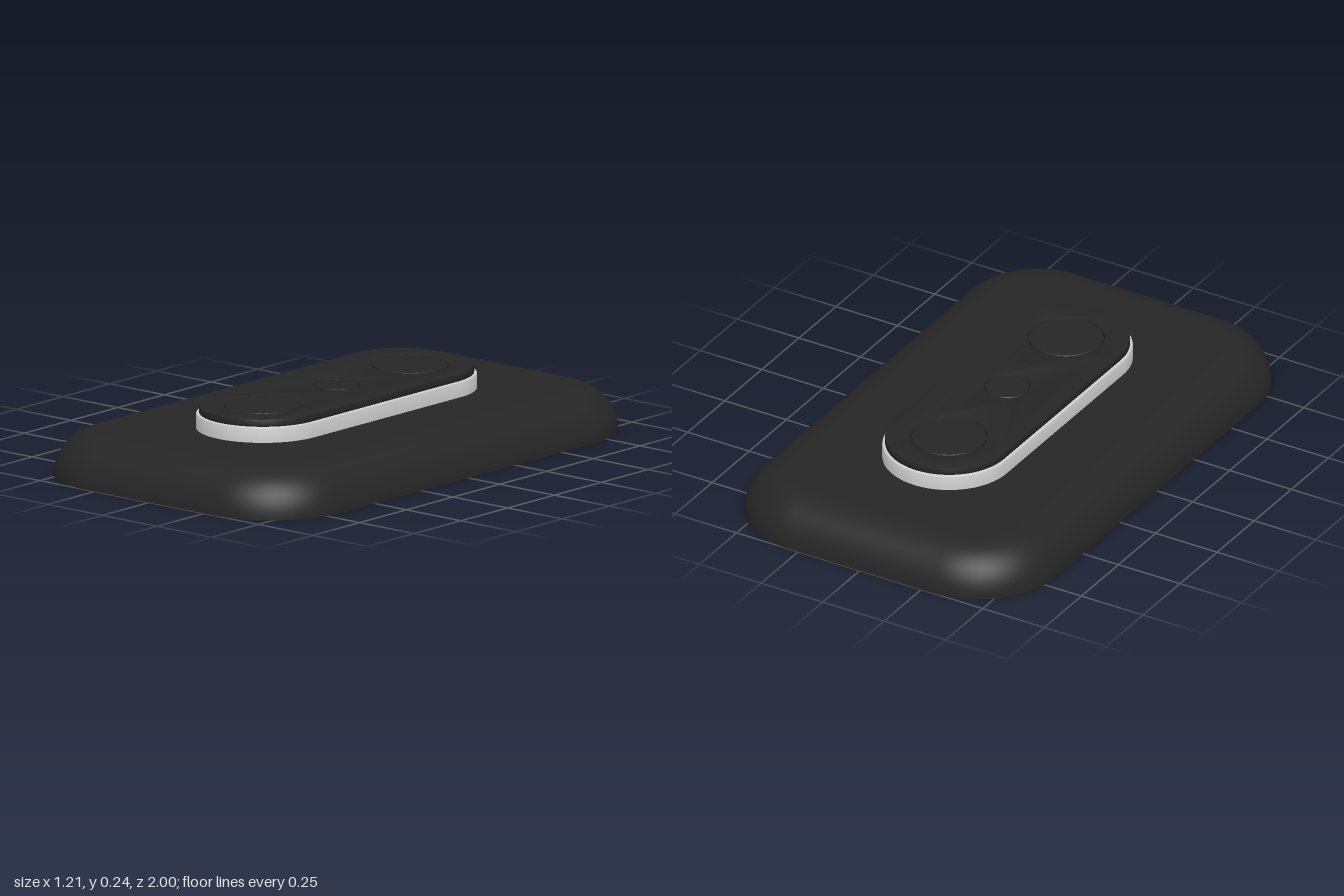
import * as THREE from 'three';
import { toCreasedNormals } from 'three/addons/utils/BufferGeometryUtils.js';

const dark = new THREE.MeshStandardMaterial({ color: 0x262626 });
const grey = new THREE.MeshStandardMaterial({ color: 0xcccccc });

// Outline of a rounded rectangle, counter-clockwise in (x, z)
function outline(w, l, r, steps = 20) {
  const pts = [];
  [[1, 1], [-1, 1], [-1, -1], [1, -1]].forEach(([sx, sz], q) => {
    for (let i = 0; i <= steps; i++) {
      const a = (q + i / steps) * Math.PI / 2;
      pts.push([sx * (w - r) + r * Math.cos(a), sz * (l - r) + r * Math.sin(a)]);
    }
  });
  return pts;
}

// Closed solid from rounded-rectangle loops; profile is a list of [inset, y] from bottom to top
function loft(w, l, r, profile) {
  const pos = [], index = [];
  const loops = profile.map(([d, y]) => outline(w - d, l - d, r - d).map(([x, z]) => [x, y, z]));
  const n = loops[0].length;
  loops.forEach(loop => loop.forEach(p => pos.push(...p)));
  for (let k = 0; k < loops.length - 1; k++) {
    for (let i = 0; i < n; i++) {
      const a = k * n + i, b = k * n + (i + 1) % n;
      index.push(a, a + n, b, b, a + n, b + n);
    }
  }
  const bottom = pos.length / 3, top = bottom + 1, last = (loops.length - 1) * n;
  pos.push(0, profile[0][1], 0, 0, profile[profile.length - 1][1], 0);
  for (let i = 0; i < n; i++) {
    const j = (i + 1) % n;
    index.push(bottom, i, j, top, last + j, last + i);
  }
  const geo = new THREE.BufferGeometry();
  geo.setAttribute('position', new THREE.Float32BufferAttribute(pos, 3));
  geo.setIndex(index);
  return toCreasedNormals(geo, 0.5);
}

function add(parent, name, geo, material) {
  const mesh = new THREE.Mesh(geo, material);
  mesh.name = name;
  parent.add(mesh);
  return mesh;
}

export function createModel() {
  const model = new THREE.Group();
  model.name = 'model';

  // Base with a quarter-round upper edge
  const R = 0.158, quarter = [];
  for (let i = 0; i <= 16; i++) {
    const a = i / 16 * Math.PI / 2;
    quarter.push([R * (1 - Math.cos(a)), R * Math.sin(a)]);
  }
  add(model, 'base', loft(0.605, 1, 0.312, quarter), dark);

  // Raised control panel
  const panel = new THREE.Group();
  panel.name = 'controlPanel';
  panel.position.z = -0.003;
  model.add(panel);

  // Metal rim with a softened top edge
  add(panel, 'metalRim', loft(0.233, 0.627, 0.233,
    [[0, 0.15], [0, 0.207], [0.002, 0.211], [0.006, 0.213]]), grey);

  // Dark cover plate with openings for the buttons
  const buttons = [
    ['backButton', -0.395, 0.134],
    ['middleButton', 0, 0.08],
    ['frontButton', 0.395, 0.134],
  ];
  const shape = new THREE.Shape(outline(0.223, 0.617, 0.223).map(([x, z]) => new THREE.Vector2(x, -z)).reverse());
  for (const [, z, r] of buttons) {
    shape.holes.push(new THREE.Path().absarc(0, -z, r, 0, Math.PI * 2, true));
  }
  const bevel = 0.003;
  const plate = new THREE.ExtrudeGeometry(shape, {
    depth: 0.027 - 2 * bevel, curveSegments: 48,
    bevelThickness: bevel, bevelSize: bevel, bevelOffset: -bevel, bevelSegments: 2,
  });
  plate.rotateX(-Math.PI / 2).translate(0, 0.212 + bevel, 0);
  add(panel, 'coverPlate', toCreasedNormals(plate, 0.5), dark);

  // Flush round buttons; a low flange closes the groove around each
  for (const [name, z, r] of buttons) {
    const profile = [[r + 0.002, 0.222], [r - 0.004, 0.222], [r - 0.004, 0.237], [r - 0.006, 0.239], [0, 0.239]]
      .map(([x, y]) => new THREE.Vector2(x, y));
    const button = add(panel, name, toCreasedNormals(new THREE.LatheGeometry(profile, 64), 0.5), dark);
    button.position.z = z;
  }
  return model;
}
